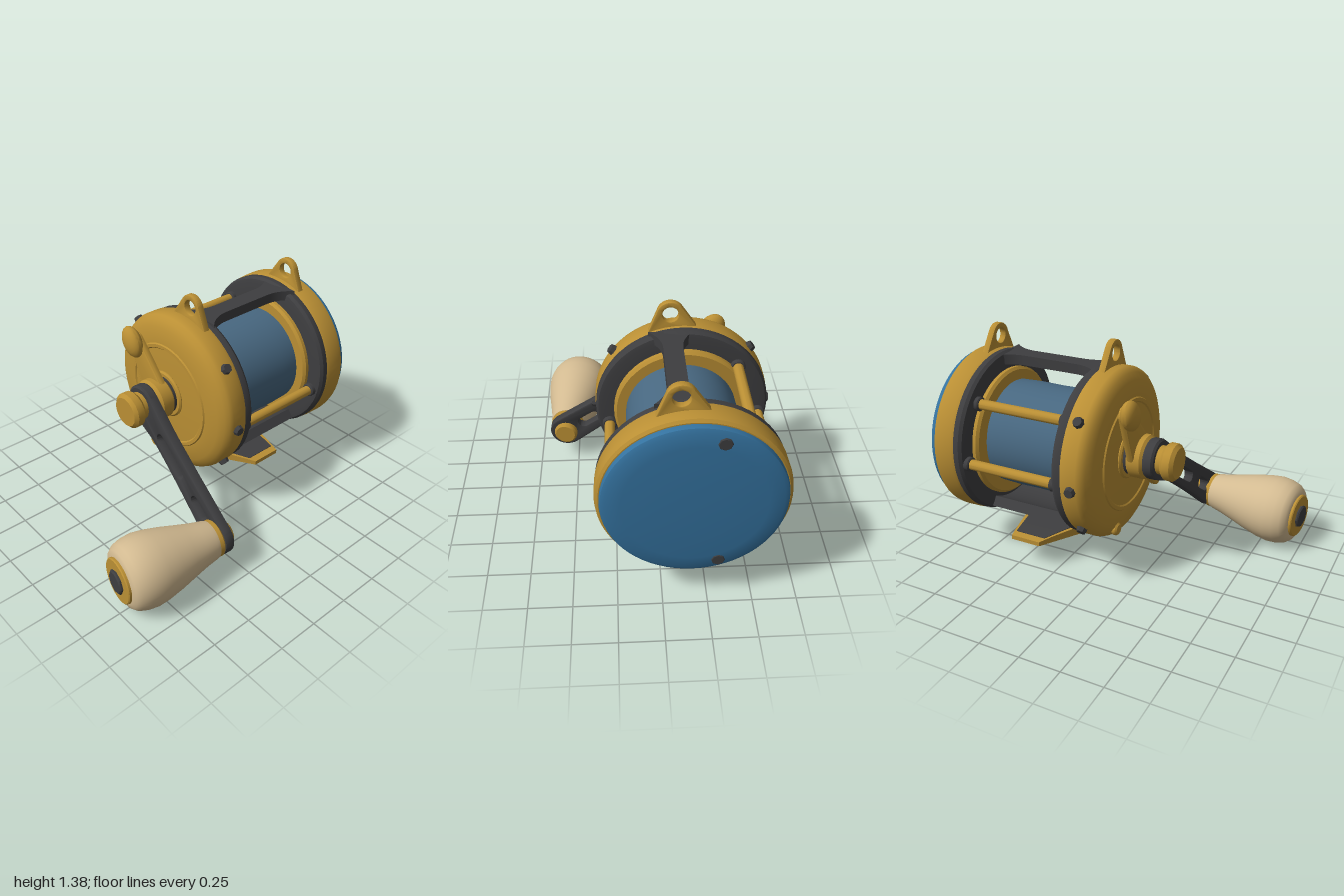
import * as THREE from 'three';
import { toCreasedNormals } from 'three/addons/utils/BufferGeometryUtils.js';

const CY = 0.72, CZ = -0.16; // main axis of the reel, parallel to x

const mat = (name, color) => {
  const m = new THREE.MeshStandardMaterial({ color });
  m.name = name;
  return m;
};

export function createModel() {
  const gold = mat('gold', 0xba8f34);
  const dark = mat('dark grey', 0x3e3e40);
  const blue = mat('cap blue', 0x34729f);
  const line = mat('line blue', 0x486881);
  const cream = mat('cream', 0xd2ba91);
  const model = new THREE.Group();
  model.name = 'fishingReel';

  const add = (name, geo, material, parent = model, x = 0, y = 0, z = 0) => {
    const mesh = new THREE.Mesh(toCreasedNormals(geo, 0.6), material);
    mesh.name = name;
    mesh.position.set(x, y, z);
    parent.add(mesh);
  };
  // Turned part around the x axis; profile is [radius, x] with x rising
  const turned = (profile, seg = 48) =>
    new THREE.LatheGeometry(profile.map(([r, x]) => new THREE.Vector2(r, x)), seg).rotateZ(-Math.PI / 2);
  const disc = (r, x0, x1, b = 0.01, seg = 32) =>
    turned([[0, x0], [r - b, x0], [r, x0 + b], [r, x1 - b], [r - b, x1], [0, x1]], seg);
  // Shape drawn in (z, y), extruded along x and centred on x = 0
  const slab = (shape, depth, bevel = 0) =>
    new THREE.ExtrudeGeometry(shape, {
      depth: depth - 2 * bevel, bevelEnabled: bevel > 0, bevelSize: bevel,
      bevelThickness: bevel, bevelOffset: -bevel, bevelSegments: 2, curveSegments: 20,
    }).rotateY(-Math.PI / 2).translate(depth / 2 - bevel, 0, 0);
  // Capsule with different end radii, running from u0 to u1
  const capsule = (path, u0, r0, u1, r1) => {
    const a = Math.acos((r0 - r1) / (u1 - u0));
    path.absarc(u1, 0, r1, -a, a, false);
    path.absarc(u0, 0, r0, a, 2 * Math.PI - a, false);
    path.closePath();
    return path;
  };

  // Side plates
  add('handleSidePlate', turned([[0, -0.1], [0.34, -0.098], [0.44, -0.088], [0.48, -0.066], [0.503, -0.045],
    [0.512, -0.02], [0.512, 0.06], [0.505, 0.08], [0, 0.08]], 64), gold, model, 0, CY, CZ);
  add('plateRaisedRing', turned([[0.35, -0.085], [0.335, -0.106], [0.315, -0.106], [0.3, -0.09]].reverse(), 64),
    gold, model, 0, CY, CZ);
  add('farSidePlate', turned([[0, 0.79], [0.505, 0.79], [0.513, 0.81], [0.515, 0.9], [0.51, 0.926],
    [0.495, 0.938], [0, 0.938]], 64), gold, model, 0, CY, CZ);
  add('bluePlateCap', turned([[0, 0.91], [0.487, 0.92], [0.49, 0.95], [0.484, 0.968], [0.46, 0.98], [0.38, 0.987],
    [0.2, 0.994], [0, 0.995]], 64), blue, model, 0, CY, CZ);
  for (const y of [1.115, 0.318]) add('capScrew', disc(0.037, 0.96, 0.99, 0.004, 8), dark, model, 0, y, -0.295);
  add('plateScrew', disc(0.04, -0.1, -0.06, 0.01, 12), gold, model, 0, 0.29, -0.31);

  // Frame rings, with a stepped inner lip
  const ring = (s) => {
    const p = [[0.39, -0.035], [0.502, -0.035], [0.508, -0.02], [0.508, 0.012], [0.495, 0.03], [0.47, 0.035],
      [0.39, 0.035], [0.39, -0.035]];
    return turned(s > 0 ? p : p.map(([r, x]) => [r, -x]).reverse(), 64);
  };
  add('frameRing', ring(1), dark, model, 0.105, CY, CZ);
  add('frameRing', ring(-1), dark, model, 0.772, CY, CZ);

  // Radial bolts around the handle-side plate
  for (const [dz, dy] of [[0.52, -0.04], [-0.52, -0.04], [0.405, 0.33], [-0.405, 0.33], [0.41, -0.34], [-0.41, -0.34]]) {
    const a = Math.atan2(dz, dy);
    const geo = new THREE.CylinderGeometry(0.027, 0.038, 0.045, 8).translate(0, 0.514, 0).rotateX(a);
    add('rimBolt', geo, dark, model, 0.01, CY, CZ);
  }

  // Strap lugs
  const lug = new THREE.Shape();
  lug.moveTo(0.045, 1.17);
  lug.lineTo(-0.015, 1.32);
  lug.absarc(-0.09, 1.3, 0.078, 0.26, Math.PI * 0.82, false);
  lug.lineTo(-0.26, 1.19);
  lug.closePath();
  lug.holes.push(new THREE.Path().absarc(-0.09, 1.3, 0.046, 0, Math.PI * 2, true));
  for (const x of [0.045, 0.84]) add('strapLug', slab(lug, 0.042, 0.006), gold, model, x);

  // Spool
  add('woundLine', turned([[0, 0.17], [0.322, 0.175], [0.326, 0.3], [0.324, 0.44], [0.327, 0.58], [0.322, 0.705],
    [0, 0.71]], 56), line, model, 0, CY, CZ + 0.01);
  for (const [a, b] of [[0.1, 0.18], [0.7, 0.775]]) add('spoolFlange', disc(0.402, a, b, 0.015, 56), gold, model, 0, CY, CZ);

  // Cross rods with end collars
  for (const [y, z] of [[0.62, 0.27], [1.0, -0.475], [0.67, -0.61]]) {
    add('crossRod', disc(0.031, 0.12, 0.76, 0.004, 20), gold, model, 0, y, z);
    for (const x of [0.125, 0.71]) add('rodCollar', disc(0.043, x, x + 0.04, 0.006, 20), dark, model, 0, y, z);
  }

  // Top bar, flared into the rings
  const bar = new THREE.Shape();
  bar.moveTo(0.1, -0.13);
  bar.quadraticCurveTo(0.17, -0.058, 0.26, -0.055);
  bar.lineTo(0.62, -0.055);
  bar.quadraticCurveTo(0.71, -0.058, 0.78, -0.13);
  bar.lineTo(0.78, 0.13);
  bar.quadraticCurveTo(0.71, 0.058, 0.62, 0.055);
  bar.lineTo(0.26, 0.055);
  bar.quadraticCurveTo(0.17, 0.058, 0.1, 0.13);
  bar.closePath();
  add('topBar', new THREE.ExtrudeGeometry(bar, { depth: 0.062, bevelEnabled: false }).rotateX(-Math.PI / 2),
    dark, model, 0, 1.153, -0.092);

  // Curved lower bridge between the rings
  const bridge = new THREE.Shape();
  bridge.absarc(CZ, CY, 0.495, -Math.PI / 2 - 0.52, -Math.PI / 2 + 0.65, false);
  bridge.absarc(CZ, CY, 0.43, -Math.PI / 2 + 0.65, -Math.PI / 2 - 0.52, true);
  bridge.closePath();
  add('lowerBridge', slab(bridge, 0.64), dark, model, 0.44);
  add('footPost', new THREE.BoxGeometry(0.3, 0.06, 0.16), dark, model, 0.47, 0.228, CZ);

  // Mounting foot: arched plate, narrowing to both ends, with a dark inlay on top
  const footPlate = (scale, base, lift) => {
    const g = new THREE.BoxGeometry(0.39 * scale, 1, 0.69 * scale, 1, 1, 20);
    const p = g.attributes.position;
    for (let i = 0; i < p.count; i++) {
      const u = Math.abs(p.getZ(i)) / 0.345;
      const t = Math.max(0, u - 0.3) / 0.7;
      p.setX(i, p.getX(i) * (1 - 0.5 * t) + 0.05 * t);
      p.setY(i, p.getY(i) > 0 ? 0.18 + 0.026 * (1 - u * u) + lift : base);
    }
    g.computeVertexNormals();
    return g;
  };
  add('mountingFoot', footPlate(1, 0.153, 0), gold, model, 0.395, 0, -0.155);
  add('footInlay', footPlate(0.87, 0.17, 0.003), dark, model, 0.395, 0, -0.155);

  // Crank hub and shaft
  const hub = new THREE.Group();
  hub.name = 'crankHub';
  hub.position.set(0, 0.73, -0.17);
  model.add(hub);
  add('shaft', disc(0.12, -0.15, -0.08, 0.01), dark, hub);
  add('shaftCollar', disc(0.15, -0.115, -0.09, 0.01), gold, hub);
  add('leverHub', disc(0.132, -0.24, -0.125, 0.02), gold, hub);
  add('crankCollar', disc(0.122, -0.3, -0.236, 0.012), dark, hub);
  add('hubNeck', disc(0.085, -0.345, -0.29, 0.005), gold, hub);
  add('hubCap', disc(0.112, -0.415, -0.33, 0.02, 16), gold, hub);

  // Drag lever with a thumb paddle and a short tail
  const lever = new THREE.Group();
  lever.name = 'dragLever';
  lever.rotation.x = Math.atan2(-0.2, 0.34) - Math.PI / 2;
  hub.add(lever);
  add('leverArm', slab(capsule(new THREE.Shape(), 0, 0.12, 0.37, 0.05), 0.045, 0.012), gold, lever, -0.166);
  add('leverPaddle', new THREE.SphereGeometry(1, 20, 14).scale(0.05, 0.075, 0.1), gold, lever, -0.2, 0, 0.37);
  add('leverTail', slab(capsule(new THREE.Shape(), -0.205, 0.042, 0, 0.1), 0.045, 0.012), gold, lever, -0.215);

  // Crank arm with two slots, leaning outward
  const crank = new THREE.Group();
  crank.name = 'crank';
  crank.position.set(-0.268, 0.73, -0.17);
  crank.rotation.set(0.613, -0.07, 0);
  model.add(crank);
  const L = 0.905;
  const arm = new THREE.Shape();
  arm.moveTo(0, -0.12);
  arm.bezierCurveTo(0.15, -0.11, 0.15, -0.08, 0.3, -0.08);
  arm.bezierCurveTo(0.6, -0.085, 0.7, -0.1, L, -0.108);
  arm.absarc(L, 0, 0.108, -Math.PI / 2, Math.PI / 2, false);
  arm.bezierCurveTo(0.7, 0.105, 0.6, 0.1, 0.35, 0.1);
  arm.bezierCurveTo(0.18, 0.1, 0.15, 0.115, 0, 0.12);
  arm.absarc(0, 0, 0.12, Math.PI / 2, Math.PI * 1.5, false);
  arm.holes.push(capsule(new THREE.Path(), 0.25, 0.035, 0.48, 0.0349));
  arm.holes.push(capsule(new THREE.Path(), 0.67, 0.035, 0.76, 0.0349));
  add('crankArm', slab(arm, 0.062, 0.008), dark, crank);

  // Handle knob on a slightly turned axis
  const handle = new THREE.Group();
  handle.name = 'handle';
  handle.position.set(-0.325, 0.21, 0.57);
  handle.rotation.y = -0.15;
  model.add(handle);
  add('pivotCap', disc(0.076, -0.02, 0.058, 0.012, 16), gold, handle);
  add('pivotCollar', disc(0.112, -0.075, -0.028, 0.008), gold, handle);
  const grip = [[0, -0.648], [0.14, -0.646], [0.17, -0.636], [0.193, -0.608], [0.208, -0.56], [0.214, -0.5],
    [0.205, -0.43], [0.185, -0.34], [0.157, -0.24], [0.133, -0.15], [0.12, -0.085], [0.113, -0.062], [0, -0.06]];
  add('grip', turned(grip), cream, handle);
  add('gripEndPlate', disc(0.135, -0.665, -0.63, 0.006), gold, handle);
  add('gripEndNut', disc(0.072, -0.682, -0.65, 0.008, 8), dark, handle);

  return model;
}
